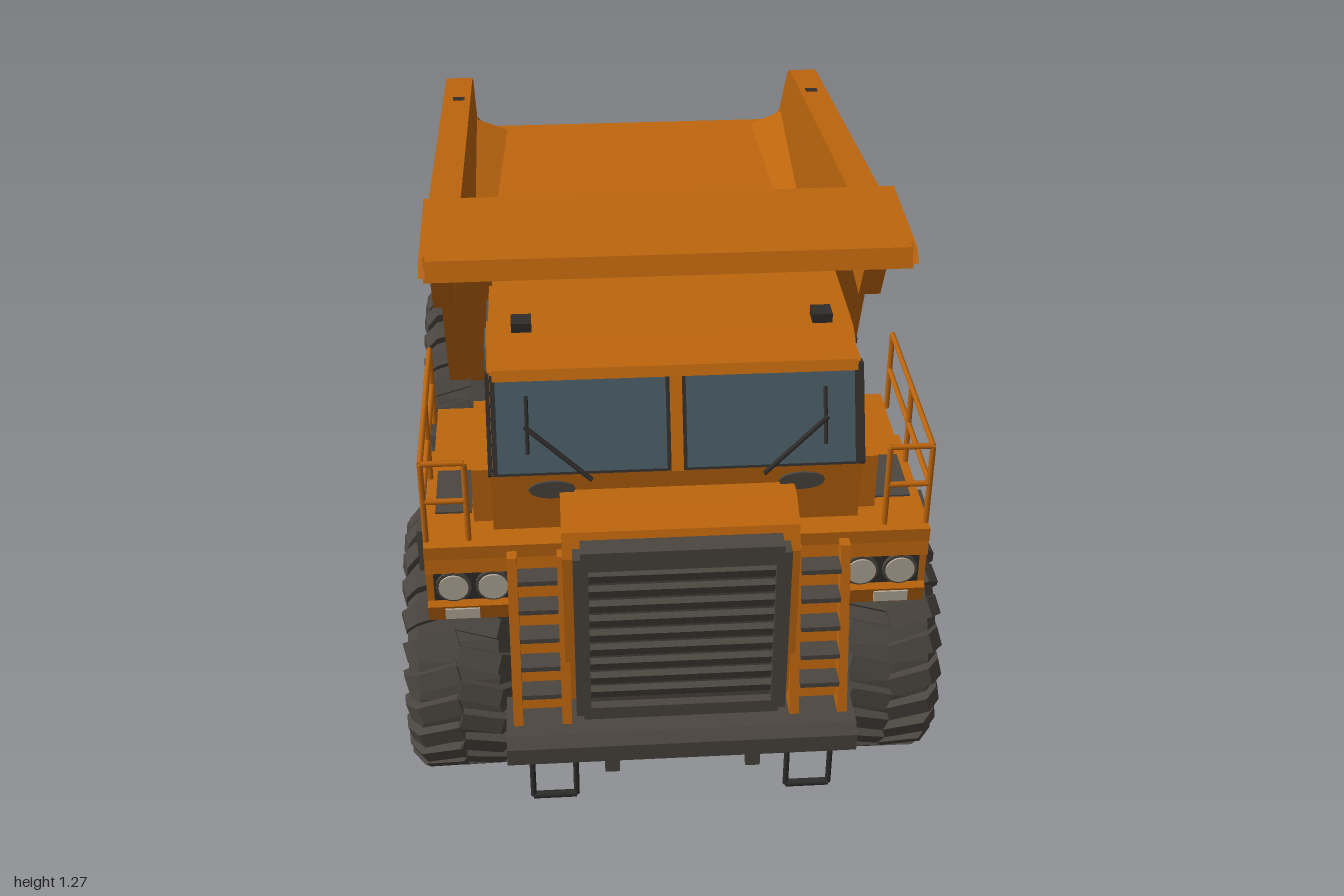
import * as THREE from 'three';
import { mergeGeometries } from 'three/addons/utils/BufferGeometryUtils.js';
import { ConvexGeometry } from 'three/addons/geometries/ConvexGeometry.js';

const mat = (name, color) => Object.assign(new THREE.MeshStandardMaterial({ color }), { name });
const orange = mat('orange paint', 0xbd650d);
const dark = mat('dark grey', 0x4b4640);
const black = mat('black trim', 0x2f2d2b);
const glass = mat('glass', 0x46575f);
const lamp = mat('lamp', 0xb5aa9a);
const brown = mat('inner brown', 0x56382a);
const silver = mat('silver', 0xa39f98);

const V = (x, y, z) => new THREE.Vector3(x, y, z);
const both = (fn) => [1, -1].forEach(fn);

export function createModel() {
  const model = new THREE.Group();
  model.name = 'dumpTruck';
  let parent = model;

  const add = (name, geo, material) => {
    const m = new THREE.Mesh(geo, material);
    m.name = name;
    parent.add(m);
    return m;
  };
  const section = (name) => {
    parent = new THREE.Group();
    parent.name = name;
    model.add(parent);
    return parent;
  };
  const box = (name, m, x0, x1, y0, y1, z0, z1) => {
    const b = add(name, new THREE.BoxGeometry(Math.abs(x1 - x0), y1 - y0, z1 - z0), m);
    b.position.set((x0 + x1) / 2, (y0 + y1) / 2, (z0 + z1) / 2);
    return b;
  };
  // side profile of [z, y] points, extruded from x0 to x1
  const slab = (name, m, pts, x0, x1) => {
    const shape = new THREE.Shape(pts.map((p) => new THREE.Vector2(p[0], p[1])));
    const g = new THREE.ExtrudeGeometry(shape, { depth: Math.abs(x1 - x0), bevelEnabled: false });
    g.rotateY(-Math.PI / 2).translate(Math.max(x0, x1), 0, 0);
    return add(name, g, m);
  };
  const rod = (name, m, a, b, r, sides = 8) => {
    const c = add(name, new THREE.CylinderGeometry(r, r, a.distanceTo(b), sides), m);
    c.position.copy(a).add(b).multiplyScalar(0.5);
    c.quaternion.setFromUnitVectors(V(0, 1, 0), b.clone().sub(a).normalize());
    return c;
  };

  // wheels: lathed tyre, dished rim, two staggered rows of shoulder lugs
  const lathe = (pts, n) => {
    const g = new THREE.LatheGeometry(pts.map((p) => new THREE.Vector2(p[0], p[1])), n).rotateZ(-Math.PI / 2).toNonIndexed();
    g.computeVertexNormals();
    return g;
  };
  const tyreGeo = lathe([[0.13, -0.08], [0.15, -0.1], [0.2, -0.112], [0.245, -0.108], [0.272, -0.085], [0.276, 0],
    [0.272, 0.085], [0.245, 0.108], [0.2, 0.112], [0.15, 0.1], [0.145, 0.08]], 40);
  const rimGeo = lathe([[0.15, 0.095], [0.146, 0.103], [0.125, 0.1], [0.115, 0.05], [0.085, 0.045], [0.08, 0.075],
    [0.055, 0.08], [0.05, 0.1], [0.0001, 0.1]], 28);
  const backGeo = lathe([[0.0001, -0.06], [0.08, -0.06], [0.1, -0.03], [0.14, -0.08]], 28);
  const lugs = [];
  both((s) => {
    const shape = new THREE.Shape([[0, 0.265], [0, 0.293], [0.09, 0.291], [0.116, 0.262], [0.12, 0.225], [0.105, 0.215]]
      .map((p) => new THREE.Vector2(p[0] * s, p[1])));
    for (let i = 0; i < 24; i++) {
      const g = new THREE.ExtrudeGeometry(shape, { depth: 0.042, bevelEnabled: false });
      lugs.push(g.translate(0, 0, -0.021).rotateY(0.25 * s).rotateX(((i + (s > 0 ? 0.5 : 0)) * Math.PI) / 12));
    }
  });
  const lugGeo = mergeGeometries(lugs);
  [['front', 0.545], ['rear', -0.505]].forEach(([label, z]) => both((s) => {
    const w = section(label + (s > 0 ? 'LeftWheel' : 'RightWheel'));
    add('tyre', tyreGeo, dark);
    add('treadLugs', lugGeo, dark);
    add('rim', rimGeo, orange);
    add('wheelBack', backGeo, dark);
    w.position.set(0.46 * s, 0.298, z);
    if (s < 0) w.rotation.y = Math.PI;
  }));

  // chassis, axles, tanks and tipping gear
  section('chassis');
  both((s) => {
    slab('frameRail', dark, [[0.88, 0.34], [0.88, 0.5], [0.25, 0.58], [-0.5, 0.56], [-0.6, 0.66], [-0.68, 0.64], [-0.7, 0.4], [-0.3, 0.34], [-0.15, 0.28], [0.25, 0.28]], 0.12 * s, 0.21 * s);
    slab('sideTank', dark, [[0.26, 0.3], [0.26, 0.6], [0.02, 0.6], [0, 0.57], [-0.04, 0.57], [-0.06, 0.6], [-0.15, 0.6], [-0.15, 0.28], [0.22, 0.26]], 0.21 * s, 0.33 * s);
    rod('hoistCylinder', dark, V(0.34 * s, 0.42, 0), V(0.34 * s, 0.6, -0.16), 0.036, 12);
    rod('hoistPiston', black, V(0.34 * s, 0.58, -0.14), V(0.34 * s, 0.72, -0.27), 0.022, 10);
    rod('hoistFoot', dark, V(0.28 * s, 0.42, 0), V(0.4 * s, 0.42, 0), 0.04, 12);
    rod('bodyPivot', dark, V(0.14 * s, 0.63, -0.62), V(0.32 * s, 0.63, -0.62), 0.058, 16);
    rod('rearSuspension', dark, V(0.27 * s, 0.35, -0.6), V(0.27 * s, 0.6, -0.66), 0.04, 12);
    rod('frontSuspension', dark, V(0.27 * s, 0.25, 0.55), V(0.25 * s, 0.7, 0.52), 0.055, 12);
  });
  box('centreBlock', dark, -0.21, 0.21, 0.27, 0.42, -0.15, 0.26);
  box('engineBlock', dark, -0.2, 0.2, 0.32, 0.74, 0.3, 0.86);
  box('rearCrossMember', dark, -0.2, 0.2, 0.42, 0.56, -0.68, -0.58);
  rod('rearAxle', dark, V(-0.4, 0.3, -0.505), V(0.4, 0.3, -0.505), 0.085, 16);
  rod('frontAxle', dark, V(-0.4, 0.29, 0.545), V(0.4, 0.29, 0.545), 0.055, 12);
  const diff = add('differential', new THREE.SphereGeometry(0.11, 16, 10), dark);
  diff.position.set(0, 0.32, -0.5);
  rod('driveShaft', dark, V(0, 0.34, -0.4), V(0, 0.36, 0.3), 0.035);
  both((s) => box('rearFramePost', silver, 0.12 * s, 0.15 * s, 0.38, 0.6, -0.72, -0.69));
  for (let i = 0; i < 4; i++) box('rearValveBar', silver, -0.09, 0.09, 0.41 + i * 0.05, 0.43 + i * 0.05, -0.715, -0.685);
  box('rearStepPlate', brown, -0.16, 0.16, 0.36, 0.375, -0.74, -0.67);

  // bumper, grille, hood and ladders
  section('frontEnd');
  slab('bumper', dark, [[0.86, 0.3], [0.86, 0.38], [0.98, 0.38], [1, 0.36], [1, 0.32], [0.97, 0.3]], -0.36, 0.36);
  box('lowerGuard', dark, -0.3, 0.3, 0.265, 0.31, 0.82, 0.93);
  box('lowerCrossMember', dark, -0.27, 0.27, 0.235, 0.28, 0.7, 0.85);
  slab('hood', orange, [[0.7, 0.42], [0.7, 0.86], [0.84, 0.86], [0.9, 0.83], [0.92, 0.78], [0.92, 0.42]], -0.235, 0.235);
  box('grilleBack', dark, -0.2, 0.2, 0.4, 0.81, 0.9, 0.93);
  both((s) => box('grilleSide', dark, 0.185 * s, 0.215 * s, 0.4, 0.8, 0.9, 0.95));
  box('grilleTop', dark, -0.2, 0.2, 0.77, 0.815, 0.9, 0.95);
  box('grilleBottom', dark, -0.2, 0.2, 0.39, 0.42, 0.9, 0.95);
  for (let i = 0; i < 9; i++) {
    const slat = box('grilleSlat', dark, -0.19, 0.19, 0.437 + i * 0.037, 0.461 + i * 0.037, 0.925, 0.94);
    slat.rotation.x = 0.35;
  }
  both((s) => {
    box('towHook', dark, 0.13 * s, 0.16 * s, 0.29, 0.36, 0.985, 1);
    slab('ladderBack', orange, [[0.78, 0.75], [0.84, 0.75], [0.92, 0.4], [0.86, 0.38]], 0.23 * s, 0.345 * s);
    [0.225, 0.325].forEach((x) => slab('ladderStringer', orange, [[0.82, 0.75], [0.87, 0.75], [0.95, 0.38], [0.9, 0.38]], x * s, (x + 0.02) * s));
    for (let i = 0; i < 5; i++) box('ladderStep', dark, 0.245 * s, 0.325 * s, 0.45 + i * 0.062, 0.461 + i * 0.062, 0.85, 0.95 - i * 0.014);
    // hanging step
    [0.22, 0.31].forEach((x) => rod('stepRod', black, V(x * s, 0.21, 0.975), V(x * s, 0.34, 0.975), 0.006));
    rod('stepBar', black, V(0.22 * s, 0.21, 0.975), V(0.31 * s, 0.21, 0.975), 0.008);
    // headlight pod
    slab('headlightPod', orange, [[0.7, 0.74], [0.84, 0.74], [0.845, 0.7], [0.835, 0.7], [0.835, 0.625], [0.845, 0.615], [0.835, 0.575], [0.74, 0.6]], 0.345 * s, 0.51 * s);
    slab('podFace', black, [[0.832, 0.7], [0.838, 0.7], [0.838, 0.628], [0.832, 0.628]], 0.335 * s, 0.495 * s);
    [0.375, 0.455].forEach((x) => {
      rod('lampRim', dark, V(x * s, 0.665, 0.83), V(x * s, 0.665, 0.845), 0.036, 20);
      rod('headlight', lamp, V(x * s, 0.665, 0.83), V(x * s, 0.665, 0.849), 0.03, 20);
    });
    box('indicator', lamp, 0.405 * s, 0.475 * s, 0.586, 0.61, 0.84, 0.848);
  });

  // fenders, deck and handrails
  section('deck');
  box('deckPlate', orange, -0.51, 0.51, 0.735, 0.765, 0.5, 0.845);
  box('rearDeckPlate', orange, -0.5, 0.5, 0.745, 0.765, 0.33, 0.5);
  slab('rearBulkhead', orange, [[0.4, 0.84], [0.29, 0.83], [0.18, 0.61], [0.24, 0.61], [0.4, 0.74]], -0.37, 0.37);
  both((s) => {
    slab('fender', dark, [[0.75, 0.74], [0.32, 0.74], [0.25, 0.7], [0.16, 0.6], [0.24, 0.57], [0.34, 0.62], [0.5, 0.66],
      [0.64, 0.65], [0.74, 0.61], [0.8, 0.66]], 0.26 * s, 0.5 * s);
    box('fenderLamp', dark, 0.5 * s, 0.53 * s, 0.63, 0.73, 0.66, 0.74);
    box('deckTread', dark, 0.415 * s, 0.49 * s, 0.764, 0.769, 0.58, 0.73);
    box('deckBox', orange, 0.37 * s, 0.41 * s, 0.76, 0.89, 0.5, 0.76);
    const rails = [[0.42, 0.82], [0.505, 0.82], [0.505, 0.6], [0.505, 0.38]];
    rails.forEach(([x, z], i) => {
      rod('railPost', orange, V(x * s, 0.76, z), V(x * s, 0.95, z), 0.006);
      if (i) [0.86, 0.95].forEach((y) => rod('handrail', orange, V(rails[i - 1][0] * s, y, rails[i - 1][1]), V(x * s, y, z), 0.006));
    });
  });

  // cab
  section('cab');
  slab('cabShell', orange, [[0.79, 0.76], [0.8, 0.9], [0.715, 1.09], [0.36, 1.09], [0.34, 1], [0.33, 0.76]], -0.37, 0.37);
  slab('cabRoof', orange, [[0.745, 1.085], [0.735, 1.105], [0.66, 1.14], [0.36, 1.14], [0.345, 1.085]], -0.36, 0.36);
  const cab = parent;
  const screen = new THREE.Group();
  screen.name = 'windscreen';
  screen.position.set(0, 0.992, 0.758);
  screen.rotation.x = -Math.atan2(0.085, 0.19);
  cab.add(screen);
  parent = screen;
  box('windscreenFrame', black, -0.365, 0.365, -0.1, 0.1, 0, 0.008);
  box('centrePillar', orange, -0.012, 0.012, -0.1, 0.1, 0, 0.016);
  both((s) => {
    box('windscreenPane', glass, 0.02 * s, 0.355 * s, -0.094, 0.094, 0.006, 0.013);
    rod('wiperArm', black, V(0.17 * s, -0.11, 0.022), V(0.3 * s, 0, 0.022), 0.005);
    rod('wiperBlade', black, V(0.295 * s, -0.055, 0.02), V(0.295 * s, 0.06, 0.02), 0.004);
  });
  parent = cab;
  both((s) => {
    slab('frontCornerPillar', black, [[0.8, 0.9], [0.81, 0.91], [0.725, 1.09], [0.7, 1.085], [0.76, 0.92]], 0.366 * s, 0.374 * s);
    slab('doorPanel', orange, [[0.66, 0.78], [0.66, 0.98], [0.61, 1.09], [0.51, 1.09], [0.51, 0.78]], 0.366 * s, 0.374 * s);
    slab('frontSideWindow', glass, [[0.65, 0.95], [0.605, 1.08], [0.52, 1.08], [0.52, 0.95]], 0.37 * s, 0.378 * s);
    slab('rearSideWindow', glass, [[0.505, 0.95], [0.505, 1.08], [0.4, 1.08], [0.38, 0.95]], 0.367 * s, 0.375 * s);
    const vent = rod('vent', dark, V(0.25 * s, 0.866, 0.79), V(0.25 * s, 0.866, 0.804), 0.02, 16);
    vent.scale.x = 2.3;
    box('roofBeacon', black, 0.28 * s, 0.32 * s, 1.135, 1.16, 0.61, 0.65);
  });

  // tipping body
  section('dumpBody');
  slab('floor', orange, [[0.03, 0.66], [-0.3, 0.71], [-0.75, 0.78], [-0.93, 0.82], [-0.99, 0.865], [-0.96, 0.89], [0, 0.72]], -0.44, 0.44);
  slab('frontWall', orange, [[0.24, 1.21], [0.03, 0.66], [0, 0.66], [0.21, 1.21]], -0.455, 0.455);
  slab('frontWallLining', brown, [[0.215, 1.2], [0.02, 0.7], [-0.025, 0.72], [0.205, 1.2]], -0.43, 0.43);
  slab('canopyUnderside', brown, [[0.35, 1.235], [0.34, 1.19], [0.26, 1.06], [0.2, 1.06], [0.22, 1.19]], -0.45, 0.45);
  // canopy roof with clipped front corners
  add('canopy', new ConvexGeometry([0.3, 0.22].flatMap((z) => [0.5, -0.5].flatMap((x) => [V(x, z > 0.25 ? 1.27 : 1.21, z), V(x, 1.18, z)]))
    .concat([0.49, -0.49].flatMap((x) => [V(x, 1.27, 0.565), V(x, 1.222, 0.585)]))), orange);
  slab('canopyLip', orange, [[0.6, 1.235], [0.585, 1.27], [0.55, 1.27], [0.55, 1.225]], -0.485, 0.485);
  slab('tailLip', orange, [[-0.86, 0.79], [-0.93, 0.8], [-1, 0.865], [-0.97, 0.88]], -0.4, 0.4);
  const floorY = (z) => 0.715 - 0.18 * z;
  both((s) => {
    slab('sideWall', orange, [[0.23, 1.2], [-0.8, 1.09], [-0.84, 1.07], [-0.98, 0.88], [-0.93, 0.82], [0, 0.66]], 0.43 * s, 0.455 * s);
    slab('topRail', orange, [[0.24, 1.205], [-0.8, 1.1], [-0.84, 1.08], [-0.98, 0.9], [-0.93, 0.88], [-0.81, 1.03], [-0.78, 1.045], [0.22, 1.15]], 0.43 * s, 0.5 * s);
    // rail end, clipped at the outer corner
    add('railEnd', new ConvexGeometry([V(0.41 * s, 0.88, -0.995), V(0.41 * s, 0.86, -0.99), V(0.5 * s, 0.91, -0.95), V(0.5 * s, 0.88, -0.93),
      V(0.43 * s, 0.92, -0.96), V(0.41 * s, 0.86, -0.93)]), orange);
    slab('lowerRail', orange, [[0.01, 0.72], [-0.93, 0.875], [-0.97, 0.85], [-0.93, 0.82], [0, 0.66]], 0.44 * s, 0.485 * s);
    slab('canopySide', orange, [[0.59, 1.235], [0.56, 1.26], [0.3, 1.27], [0.22, 1.2], [0.14, 1], [0.25, 0.98], [0.35, 1.18]], 0.45 * s, 0.499 * s);
    slab('frontEdgeRib', orange, [[0.24, 1.2], [0.15, 1.17], [-0.04, 0.67], [0.02, 0.65]], 0.45 * s, 0.49 * s);
    // slanted side ribs: [top z, bottom z]
    [[-0.03, -0.1], [-0.25, -0.29], [-0.46, -0.46], [-0.62, -0.57], [-0.76, -0.68]].forEach(([t, b]) =>
      slab('sideRib', orange, [[t + 0.025, 1.14 + t * 0.1], [t - 0.025, 1.14 + t * 0.1], [b - 0.025, 0.7 - b * 0.165], [b + 0.025, 0.7 - b * 0.165]], 0.45 * s, 0.48 * s));
    // sloped corner between floor and side wall
    const corner = [[0.03, 0.415, 0.01], [-0.94, 0.34, 0.04]].flatMap(([z, x, h]) =>
      [V(x * s, floorY(z), z), V(0.44 * s, floorY(z), z), V(0.44 * s, floorY(z) + h, z)]);
    add('floorCorner', new ConvexGeometry(corner), orange);
    slab('underBeam', orange, [[0.03, 0.66], [0, 0.635], [-0.2, 0.645], [-0.3, 0.67], [-0.68, 0.7], [-0.85, 0.8], [0, 0.7]], 0.16 * s, 0.24 * s);
    slab('underSkirt', orange, [[0.03, 0.67], [0, 0.635], [-0.18, 0.645], [-0.28, 0.72], [0, 0.7]], 0.38 * s, 0.44 * s);
    slab('tailGusset', orange, [[-0.69, 0.67], [-0.75, 0.67], [-0.92, 0.8], [-0.8, 0.82]], 0.36 * s, 0.42 * s);
    box('railLatch', black, 0.445 * s, 0.475 * s, 1.11, 1.122, -0.615, -0.595);
  });
  for (let i = 0; i < 5; i++) {
    const z = -0.12 - i * 0.17;
    box('underRib', orange, -0.42, 0.42, 0.64 - z * 0.15, 0.69 - z * 0.15, z - 0.02, z + 0.02);
  }
  return model;
}
